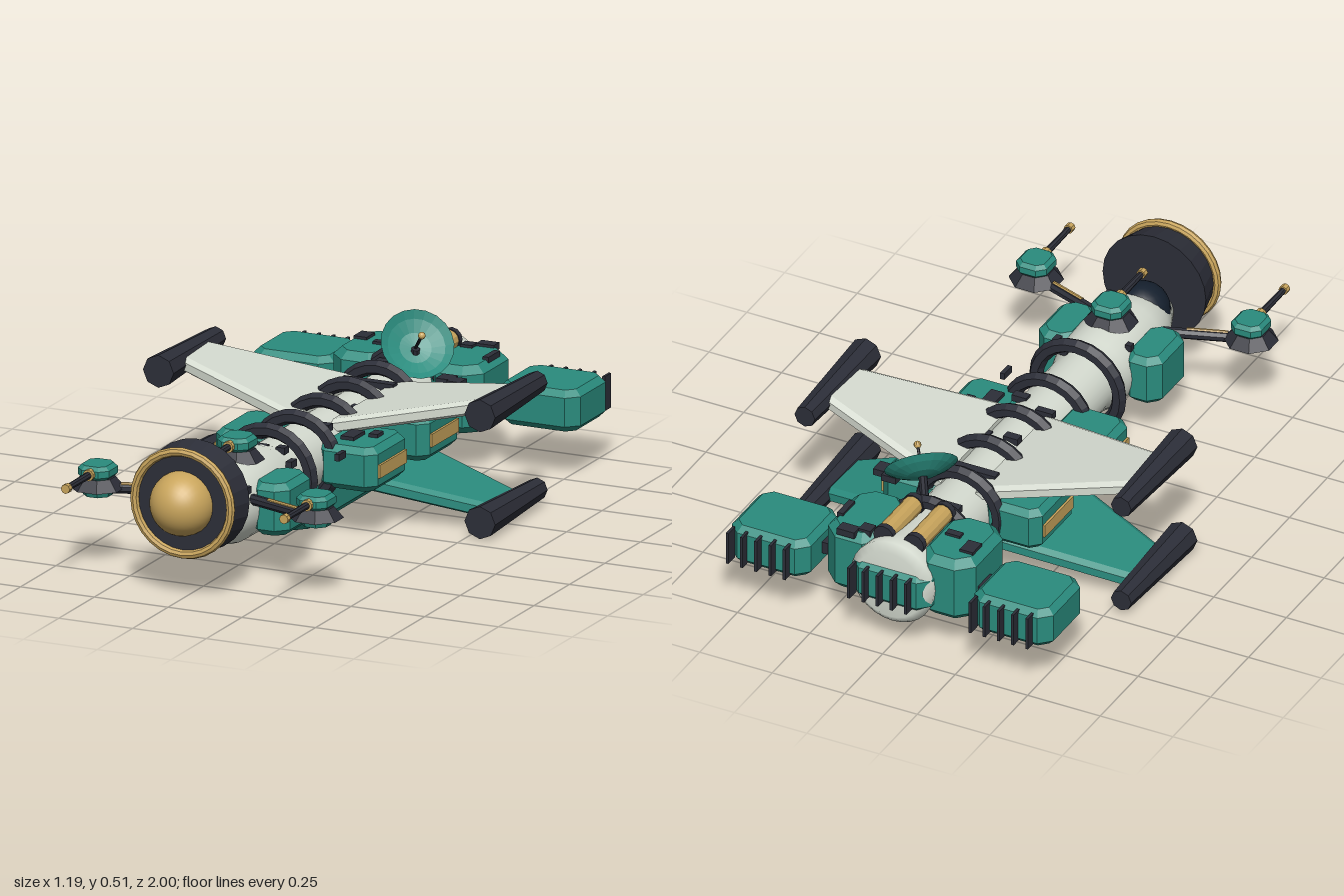
import * as THREE from 'three';

const mat = (color, flat = true) => new THREE.MeshStandardMaterial({ color, flatShading: flat, side: THREE.DoubleSide });
const teal = mat(0x2a8c7e), dark = mat(0x2c2e38), gold = mat(0xc9a55c);
const white = mat(0xd5dbd0), whiteSmooth = mat(0xd5dbd0, false);
const goldSmooth = mat(0xc9a55c, false), glass = mat(0x15202e, false);
const HULL_Y = 0.23;

function add(parent, name, geometry, material, x = 0, y = 0, z = 0) {
  const m = new THREE.Mesh(geometry, material);
  m.name = name;
  m.position.set(x, y, z);
  parent.add(m);
  return m;
}

// Box with every edge chamfered: c is the plan corner cut, b the top and bottom bevel
function chamferBox(w, h, d, c = 0.03, b = 0.02) {
  const x = w / 2 - b, y = d / 2 - b;
  const pts = [[x - c, -y], [x, -y + c], [x, y - c], [x - c, y], [-x + c, y], [-x, y - c], [-x, -y + c], [-x + c, -y]];
  const g = new THREE.ExtrudeGeometry(new THREE.Shape(pts.map(p => new THREE.Vector2(...p))), {
    depth: h - 2 * b, bevelEnabled: true, bevelSize: b, bevelThickness: b, bevelSegments: 1,
  });
  return g.translate(0, 0, b - h / 2).rotateX(-Math.PI / 2);
}

// Cylinder lying along z
const zCylinder = (rFront, rBack, len, n = 10) =>
  new THREE.CylinderGeometry(rFront, rBack, len, n).rotateX(Math.PI / 2);

// Rod between two points
function rod(parent, name, a, b, r, material) {
  const p = new THREE.Vector3(...a), q = new THREE.Vector3(...b);
  const m = add(parent, name, new THREE.CylinderGeometry(r, r, p.distanceTo(q), 8), material);
  m.position.copy(p).add(q).multiplyScalar(0.5);
  m.quaternion.setFromUnitVectors(new THREE.Vector3(0, 1, 0), q.sub(p).normalize());
  return m;
}

// Tapered swept wing on the +x side
function wing(yRoot, yTip) {
  const g = new THREE.BoxGeometry(1, 1, 1, 1, 1, 3), p = g.attributes.position;
  const lerp = THREE.MathUtils.lerp;
  for (let i = 0; i < p.count; i++) {
    const t = p.getX(i) + 0.5, v = p.getY(i), w = p.getZ(i);
    const edge = Math.abs(w) > 0.4;
    const front = lerp(-0.02, -0.17, t), back = lerp(-0.5, -0.37, t);
    const inset = edge ? 0 : 0.02 * -Math.sign(w);
    const z = edge ? (w > 0 ? front : back) : (w > 0 ? front : back) + inset;
    p.setXYZ(i, lerp(0.06, 0.53, t), lerp(yRoot, yTip, t) + v * (edge ? 0.026 : 0.048), z);
  }
  return g;
}

function turret(name, x, y, z, barrel) {
  const g = new THREE.Group();
  g.name = name;
  g.position.set(x, y, z);
  add(g, 'turretFoot', new THREE.CylinderGeometry(0.055, 0.045, 0.025, 8).rotateY(Math.PI / 8), teal, 0, -0.01, 0);
  add(g, 'turretSkirt', new THREE.CylinderGeometry(0.055, 0.085, 0.035, 8).rotateY(Math.PI / 8), dark, 0, 0.018, 0);
  add(g, 'turretHead', chamferBox(0.105, 0.045, 0.115, 0.018, 0.012), teal, 0, 0.055, 0);
  add(g, 'gunCollar', zCylinder(0.018, 0.018, 0.02), gold, 0, 0.055, 0.06);
  add(g, 'gunBarrel', zCylinder(0.01, 0.012, barrel, 8), dark, 0, 0.055, 0.05 + barrel / 2);
  add(g, 'gunMuzzle', zCylinder(0.015, 0.015, 0.02, 8), gold, 0, 0.055, 0.05 + barrel);
  return g;
}

// Finned radiator block
function radiator(parent, x) {
  add(parent, 'radiatorBlock', chamferBox(0.272, 0.132, 0.25, 0.025, 0.02), teal, x, 0.226, -0.845);
  for (let i = -2; i <= 2; i++)
    add(parent, 'radiatorFin', new THREE.BoxGeometry(0.009, 0.11, 0.045), dark, x + 0.02 + i * 0.049, 0.226, -0.977);
}

export function createModel() {
  const root = new THREE.Group();
  root.name = 'spaceship';

  // Hull of revolution along z, from engine flare to nose
  const profile = [[0, -0.955], [0.115, -0.955], [0.142, -0.935], [0.135, -0.87], [0.106, -0.68], [0.104, 0.3],
    [0.126, 0.38], [0.13, 0.5], [0.129, 0.61], [0.11, 0.69], [0.065, 0.8], [0, 0.81]];
  add(root, 'hull', new THREE.LatheGeometry(profile.map(p => new THREE.Vector2(...p)), 28).rotateX(Math.PI / 2),
    whiteSmooth, 0, HULL_Y, 0);

  // Hull rings
  for (const z of [0.29, 0.095, -0.1, -0.29, -0.485, -0.675])
    add(root, 'hullRing', new THREE.TorusGeometry(z > 0.2 ? 0.143 : 0.132, 0.024, 6, 24), dark, 0, HULL_Y + 0.005, z);

  // Nose shield with rim and dome
  add(root, 'noseShield', zCylinder(0.155, 0.178, 0.1, 24), dark, 0, 0.308, 0.845);
  add(root, 'noseRim', new THREE.TorusGeometry(0.163, 0.014, 8, 28), gold, 0, 0.308, 0.897);
  add(root, 'noseDome', new THREE.SphereGeometry(0.102, 28, 12, 0, Math.PI * 2, 0, Math.PI / 2).rotateX(Math.PI / 2),
    goldSmooth, 0, 0.308, 0.897);
  add(root, 'canopy', new THREE.SphereGeometry(1, 20, 14).scale(0.088, 0.09, 0.09), glass, 0, 0.268, 0.715);

  // Belly keel
  add(root, 'keel', chamferBox(0.185, 0.14, 0.66, 0.03, 0.03), teal, 0, 0.1, -0.13);

  // Mirrored wings and side equipment
  for (const s of [1, -1]) {
    const side = new THREE.Group();
    side.name = s > 0 ? 'leftSide' : 'rightSide';
    side.scale.x = s;
    root.add(side);
    for (const [name, yr, yt, m] of [['upperWing', 0.308, 0.397, white], ['lowerWing', 0.155, 0.056, teal]]) {
      add(side, name, wing(yr, yt), m);
      add(side, name + 'Pod', zCylinder(0.052, 0.035, 0.405, 8), dark, 0.545, yt, -0.267);
    }
    for (const z of [-0.005, -0.372]) {
      add(side, 'sidePod', chamferBox(0.2, 0.14, 0.255, 0.02, 0.02), teal, 0.174, 0.23, z);
      add(side, 'sidePodStripe', new THREE.BoxGeometry(0.015, 0.042, 0.19), gold, 0.274, 0.226, z);
    }
    add(side, 'frontPod', chamferBox(0.13, 0.165, 0.215, 0.025, 0.02), teal, 0.148, 0.228, 0.512);
    add(side, 'enginePod', chamferBox(0.19, 0.215, 0.275, 0.035, 0.025), teal, 0.16, 0.24, -0.783);
    add(side, 'radiatorStrut', new THREE.BoxGeometry(0.08, 0.04, 0.08), dark, 0.265, 0.226, -0.82);
    rod(side, 'turretArm', [0.09, 0.265, 0.63], [0.36, 0.265, 0.725], 0.017, dark);
    rod(side, 'turretArmStripe', [0.18, 0.278, 0.665], [0.3, 0.278, 0.707], 0.007, gold);
    side.add(turret('sideTurret', 0.37, 0.265, 0.725, 0.17));
    add(side, 'fuelTank', zCylinder(0.032, 0.032, 0.19, 12), gold, 0.052, 0.357, -0.785);
    for (const z of [-0.885, -0.69])
      add(side, 'fuelTankCap', zCylinder(0.035, 0.035, 0.02, 12), dark, 0.052, 0.357, z);
  }
  root.add(turret('topTurret', 0, 0.345, 0.51, 0.155));
  for (const x of [-0.418, 0, 0.418]) radiator(root, x);

  // Tilted dish antenna: shallow bowl facing up, forward and to the left
  const dish = new THREE.Group();
  dish.name = 'dishAntenna';
  dish.position.set(0.075, 0.415, -0.595);
  dish.quaternion.setFromUnitVectors(new THREE.Vector3(0, 1, 0), new THREE.Vector3(0.5, 0.62, 0.6).normalize());
  const bowl = [[0, -0.02], [0.05, -0.014], [0.09, 0.002], [0.115, 0.018]];
  add(dish, 'dishBowl', new THREE.LatheGeometry(bowl.map(p => new THREE.Vector2(...p)), 20), teal);
  rod(dish, 'dishFeedRod', [0, -0.02, 0], [0, 0.08, 0], 0.005, dark);
  add(dish, 'dishFeed', new THREE.SphereGeometry(0.012, 10, 8), gold, 0, 0.085, 0);
  root.add(dish);
  rod(root, 'dishMast', [0.05, 0.3, -0.62], [0.07, 0.405, -0.6], 0.014, dark);

  // Scattered deck fittings: x, y, z, width, depth
  const fittings = [
    [-0.04, 0.335, -0.63, 0.07, 0.03], [0.2, 0.335, -0.55, 0.05, 0.055], [0.24, 0.335, -0.535, 0.045, 0.05],
    [-0.2, 0.335, -0.4, 0.04, 0.022], [0, 0.335, -0.415, 0.18, 0.03], [0.125, 0.33, -0.36, 0.025, 0.075],
    [0.18, 0.335, -0.245, 0.05, 0.025], [0.2, 0.335, -0.155, 0.055, 0.045], [0.175, 0.33, -0.09, 0.02, 0.035],
    [0.15, 0.3, 0.01, 0.045, 0.08], [0.21, 0.3, -0.03, 0.03, 0.045], [-0.05, 0.33, -0.02, 0.06, 0.025],
    [0.07, 0.32, -0.2, 0.05, 0.03], [-0.03, 0.335, -0.2, 0.05, 0.03], [0.06, 0.325, 0.03, 0.05, 0.03],
    [0.19, 0.29, 0.18, 0.015, 0.05], [0, 0.335, 0.37, 0.045, 0.08], [0.12, 0.31, 0.38, 0.02, 0.04],
    [0.06, 0.33, 0.32, 0.03, 0.03], [-0.1, 0.32, 0.44, 0.02, 0.02], [-0.21, 0.345, -0.82, 0.045, 0.06],
    [-0.13, 0.345, -0.775, 0.05, 0.025], [0.17, 0.345, -0.9, 0.06, 0.04], [0.23, 0.345, -0.8, 0.02, 0.08],
    [0.12, 0.345, -0.87, 0.04, 0.04], [0.1, 0.3, 0.68, 0.03, 0.06],
  ];
  for (const [x, y, z, w, d] of fittings)
    add(root, 'deckFitting', new THREE.BoxGeometry(w, 0.022, d), dark, x, y, z);

  return root;
}
